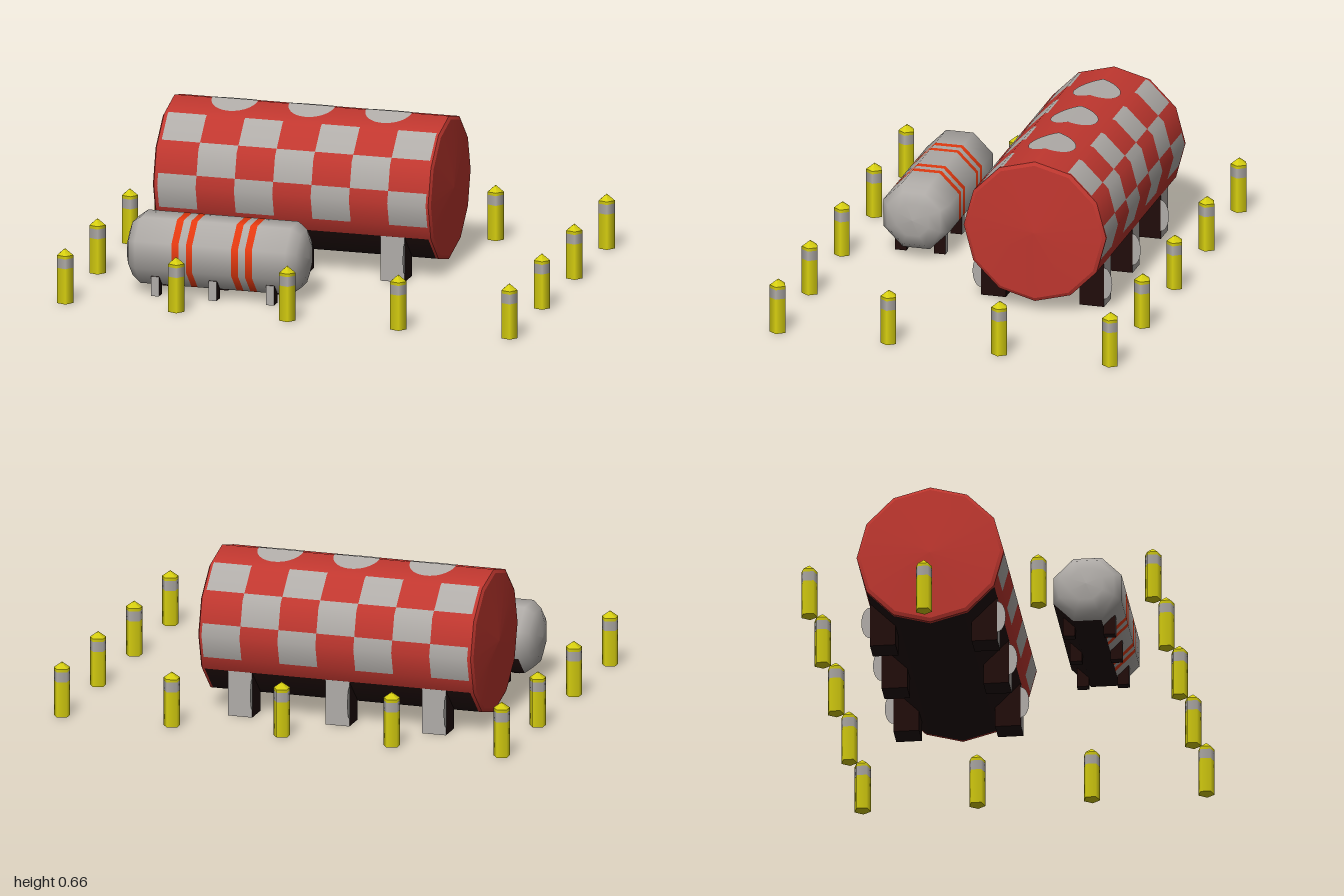
import * as THREE from 'three';

const mat = (name, color) => {
  const m = new THREE.MeshStandardMaterial({ color });
  m.name = name;
  return m;
};
const M = {
  red: mat('tank red', 0xc0372f),
  grey: mat('light grey', 0xb0aca8),
  dark: mat('sooty brown', 0x200c0a),
  orange: mat('stripe orange', 0xe63a10),
  yellow: mat('post yellow', 0xd8d010),
};
const RAD = Math.PI / 180;

// Radius of a regular polygon of circumradius 1 at angle a (degrees from the top)
function polygonRadius(a, sides, phase) {
  const step = 360 / sides;
  const t = (((a - phase) % step) + step) % step;
  return Math.cos(RAD * step / 2) / Math.cos(RAD * (t - step / 2));
}

// Faceted drum along x, split into one mesh per colour.
// profile: [x, radius] pairs; angles: degrees from the top towards +z
function drum(name, { profile, angles, sides, phase, roundEnds, colourOf }) {
  const group = new THREE.Group();
  group.name = name;
  const buckets = {};
  const segNormal = i => {
    const dx = profile[i + 1][0] - profile[i][0], dr = profile[i + 1][1] - profile[i][1];
    return new THREE.Vector2(-dr, dx).normalize();
  };
  const last = profile.length - 2;
  const jointNormal = (i, j) => {
    const n = segNormal(i), k = j === i ? i - 1 : i + 1;
    return roundEnds && k >= 0 && k <= last ? n.add(segNormal(k)).normalize() : n;
  };
  for (let i = 0; i <= last; i++) {
    for (let k = 0; k < angles.length - 1; k++) {
      const xm = (profile[i][0] + profile[i + 1][0]) / 2;
      const key = colourOf(i, xm, (angles[k] + angles[k + 1]) / 2);
      const b = buckets[key] ??= { pos: [], nor: [] };
      const quad = [[i, k], [i, k + 1], [i + 1, k + 1], [i + 1, k]];
      for (const c of [0, 1, 2, 0, 2, 3]) {
        const [j, q] = quad[c];
        const a = angles[q] * RAD;
        const r = profile[j][1] * polygonRadius(angles[q], sides, phase);
        const n = jointNormal(i, j);
        b.pos.push(profile[j][0], r * Math.cos(a), r * Math.sin(a));
        b.nor.push(n.x, n.y * Math.cos(a), n.y * Math.sin(a));
      }
    }
  }
  for (const [key, b] of Object.entries(buckets)) {
    const g = new THREE.BufferGeometry();
    g.setAttribute('position', new THREE.Float32BufferAttribute(b.pos, 3));
    g.setAttribute('normal', new THREE.Float32BufferAttribute(b.nor, 3));
    const mesh = new THREE.Mesh(g, M[key]);
    mesh.name = `${name} ${key} panels`;
    group.add(mesh);
  }
  return group;
}

// Block leg: grey on its outer side, dark elsewhere
function leg(name, x, z, w, h, d, outward) {
  const sides = [M.dark, M.dark, M.dark, M.dark, M.dark, M.dark];
  sides[outward > 0 ? 4 : 5] = M.grey;
  const mesh = new THREE.Mesh(new THREE.BoxGeometry(w, h, d), sides);
  mesh.name = name;
  mesh.position.set(x, h / 2, z);
  return mesh;
}

function largeTank() {
  const group = new THREE.Group();
  group.name = 'largeTank';
  const cy = 0.35, cz = -0.24, R = 0.31;

  // Chequered twelve-sided drum
  const half = [0, 27.2, 30, 53.5, 60, 80.4, 90, 109.5, 120, 150, 180];
  const angles = [...half, ...half.slice(0, -1).reverse().map(a => 360 - a)];
  const columns = Array.from({ length: 8 }, (_, i) => -0.76 + i * 0.167);
  const profile = [[-0.8, 0], [-0.783, 0.295], [-0.775, R],
    ...columns.map(x => [x, R]), [0.42, R], [0.428, 0.295], [0.443, 0]];
  const body = drum('largeTankBody', {
    profile, angles, sides: 12, phase: 0,
    colourOf(i, x, a) {
      const col = i - 3;
      if (col < 0 || col > 6) return 'red';
      const t = a > 180 ? 360 - a : a;
      if (t > 120) return 'dark';
      if (t < 27.2 || t > 109.5) return 'red';
      const row = t < 53.5 ? 0 : t < 80.4 ? 1 : 2;
      return (row + col) % 2 === 0 ? 'grey' : 'red';
    },
  });
  body.position.set(0, cy, cz);
  group.add(body);

  // Round spots folded over the top ridge
  for (const x of [-0.51, -0.175, 0.16]) {
    for (const s of [0, 1]) {
      const g = new THREE.CircleGeometry(0.1, 20, s * Math.PI, Math.PI);
      g.rotateX(-Math.PI / 2);
      const p = g.attributes.position;
      for (let i = 0; i < p.count; i++) {
        p.setY(i, R + 0.003 - Math.abs(p.getZ(i)) * Math.tan(15 * RAD));
      }
      g.computeVertexNormals();
      const spot = new THREE.Mesh(g, M.grey);
      spot.name = 'roofSpot';
      spot.position.set(x, cy, cz);
      group.add(spot);
    }
  }

  // Six legs with pale half-round patches on their sides
  for (const x of [-0.6, -0.175, 0.2525]) {
    for (const s of [1, -1]) {
      group.add(leg('largeTankLeg', x, cz + s * 0.214, 0.106, 0.195, 0.108, s));
      for (const f of [1, -1]) {
        const g = new THREE.CircleGeometry(1, 12, f * s > 0 ? Math.PI / 2 : -Math.PI / 2, Math.PI);
        g.scale(0.036, 0.07, 1);
        const patch = new THREE.Mesh(g, M.grey);
        patch.name = 'legPatch';
        patch.rotation.y = f * Math.PI / 2;
        patch.position.set(x + f * 0.055, 0.105, cz + s * 0.268);
        group.add(patch);
      }
    }
  }
  return group;
}

function smallTank() {
  const group = new THREE.Group();
  group.name = 'smallTank';
  const cz = 0.415, R = 0.155;

  // Eight-sided drum with rounded ends and two pairs of stripes
  const stripes = [[-0.555, -0.525], [-0.492, -0.465], [-0.295, -0.265], [-0.235, -0.205]];
  const profile = [[-0.777, 0], [-0.77, 0.075], [-0.752, 0.125], [-0.715, R],
    ...stripes.flat().map(x => [x, R]),
    [-0.06, R], [-0.02, 0.125], [-0.002, 0.075], [0.005, 0]];
  const body = drum('smallTankBody', {
    profile, sides: 8, phase: 22.5, roundEnds: true,
    angles: Array.from({ length: 9 }, (_, i) => 22.5 + i * 45),
    colourOf(i, x, a) {
      if (x < -0.72 || x > -0.05) return 'grey';
      if (a > 158 && a < 247) return 'dark';
      return stripes.some(([p, q]) => x > p && x < q) ? 'orange' : 'grey';
    },
  });
  body.position.set(0, 0.182, cz);
  group.add(body);

  for (const x of [-0.637, -0.385, -0.135]) {
    for (const s of [1, -1]) group.add(leg('smallTankLeg', x, cz + s * 0.085, 0.035, 0.085, 0.05, s));
  }
  return group;
}

// Five-sided bollard with a pale collar and pointed cap
function post(x, z) {
  const group = new THREE.Group();
  group.name = 'post';
  const r = 0.036;
  const part = (name, top, y0, y1, material, open) => {
    const g = new THREE.CylinderGeometry(top, r, y1 - y0, 5, 1, open);
    g.rotateY(Math.PI / 2);
    const mesh = new THREE.Mesh(g, material);
    mesh.name = name;
    mesh.position.y = (y0 + y1) / 2;
    group.add(mesh);
  };
  part('postShaft', r, 0, 0.153, M.yellow, false);
  part('postCollar', r, 0.153, 0.195, M.grey, true);
  part('postRim', r, 0.195, 0.208, M.yellow, true);
  part('postCap', 0, 0.208, 0.235, M.yellow, true);
  group.position.set(x, 0, z);
  return group;
}

export function createModel() {
  const model = new THREE.Group();
  model.name = 'tankYard';
  model.add(largeTank(), smallTank());

  // Ring of posts around the yard
  const posts = new THREE.Group();
  posts.name = 'posts';
  for (let i = 0; i < 5; i++) {
    for (let j = 0; j < 4; j++) {
      if (i % 4 === 0 || j % 3 === 0) posts.add(post(-0.971 + i * 0.484, -0.727 + j * 0.4823));
    }
  }
  model.add(posts);
  return model;
}
